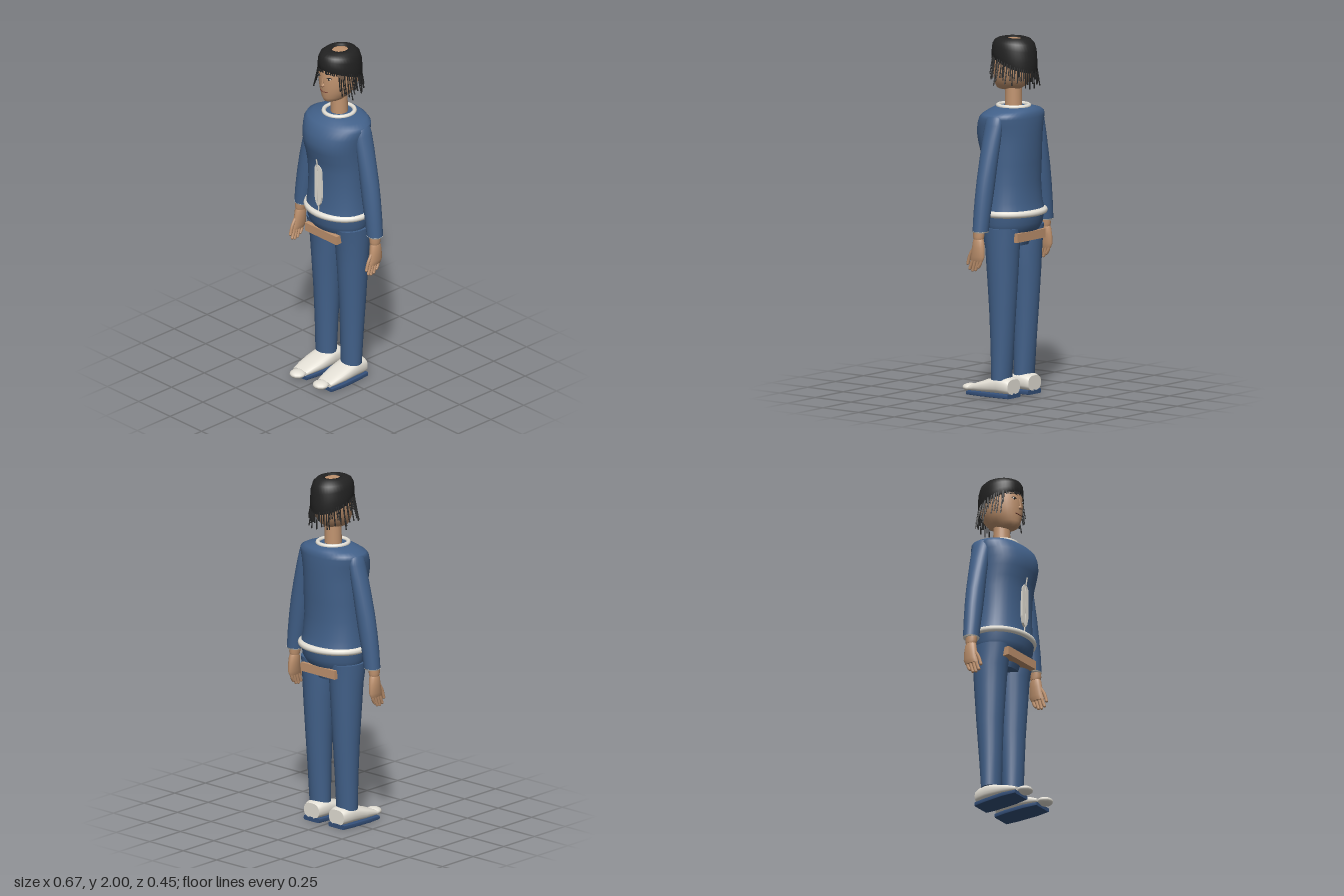
import * as THREE from 'three';

const mat = (name, color) => Object.assign(new THREE.MeshStandardMaterial({ color }), { name });

// Skin through oval rings, bottom to top: [y, centreX, halfWidth, zFront, zBack]
function loft(rings, sides = 28, power = 2) {
  const pos = [], idx = [], n = sides;
  const bend = v => Math.sign(v) * Math.abs(v) ** (2 / power);
  const addRing = ([y, cx, hw, zf, zb]) => {
    for (let j = 0; j < n; j++) {
      const a = j / n * Math.PI * 2;
      pos.push(cx + hw * bend(Math.sin(a)), y, (zf + zb) / 2 + (zf - zb) / 2 * bend(Math.cos(a)));
    }
  };
  rings.forEach(addRing);
  for (let i = 0; i < rings.length - 1; i++) for (let j = 0; j < n; j++) {
    const k = (j + 1) % n, a = i * n + j, b = i * n + k;
    idx.push(a, b, b + n, a, b + n, a + n);
  }
  // flat end caps
  [[rings[0], false], [rings[rings.length - 1], true]].forEach(([r, top]) => {
    const s = pos.length / 3;
    addRing(r);
    pos.push(r[1], r[0], (r[3] + r[4]) / 2);
    for (let j = 0; j < n; j++) {
      const a = s + j, b = s + (j + 1) % n;
      idx.push(s + n, ...(top ? [a, b] : [b, a]));
    }
  });
  const g = new THREE.BufferGeometry();
  g.setAttribute('position', new THREE.Float32BufferAttribute(pos, 3));
  g.setIndex(idx);
  g.computeVertexNormals();
  return g;
}

const tube = (pts, r, seg = 8) => new THREE.TubeGeometry(
  new THREE.CatmullRomCurve3(pts.map(p => new THREE.Vector3(...p))), seg, r, 6);

export function createModel() {
  const model = new THREE.Group();
  const blue = mat('blue cloth', 0x42618a), white = mat('off white', 0xe4e0d6);
  const skin = mat('skin', 0xc0936f), hair = mat('black hair', 0x222222);
  const sole = mat('navy sole', 0x34507a), lip = mat('lip', 0x7a4638);
  const add = (name, geo, m, x = 0, y = 0, z = 0) => {
    const mesh = new THREE.Mesh(geo, m);
    mesh.name = name;
    mesh.position.set(x, y, z);
    model.add(mesh);
    return mesh;
  };

  // Sweater
  add('sweaterBody', loft([
    [1.03, 0, 0.197, 0.11, -0.2], [1.09, 0, 0.186, 0.1, -0.185], [1.2, 0, 0.178, 0.1, -0.18],
    [1.3, 0, 0.18, 0.106, -0.185], [1.36, 0, 0.183, 0.118, -0.188], [1.42, 0, 0.187, 0.136, -0.19],
    [1.47, 0, 0.192, 0.144, -0.192], [1.52, 0, 0.199, 0.135, -0.193], [1.56, 0, 0.206, 0.115, -0.192],
    [1.58, 0, 0.2, 0.095, -0.19], [1.598, 0, 0.165, 0.07, -0.182], [1.612, 0, 0.11, 0.05, -0.165],
    [1.616, 0, 0.08, 0.03, -0.13]], 40, 2.15), blue);
  add('sweaterHem', loft([
    [1.012, 0, 0.198, 0.115, -0.208], [1.018, 0, 0.208, 0.126, -0.22], [1.03, 0, 0.212, 0.13, -0.225],
    [1.042, 0, 0.208, 0.126, -0.22], [1.048, 0, 0.195, 0.112, -0.205]], 40), white);
  const collar = add('collar', new THREE.TorusGeometry(0.084, 0.012, 10, 36), white, 0, 1.617, -0.05);
  collar.rotation.x = Math.PI / 2;
  collar.scale.y = 1.03;

  // Front zip: two facings and a thin centre line
  [-1, 1].forEach(s => {
    const half = new THREE.Shape([[0.003, 1.08], [0.018, 1.1], [0.027, 1.14], [0.027, 1.31], [0.016, 1.33], [0.003, 1.34]]
      .map(([x, y]) => new THREE.Vector2(x * s, y)));
    add('zipFacing', new THREE.ExtrudeGeometry(half, { depth: 0.014, bevelEnabled: false }), white, 0, 0, 0.099);
  });
  add('zipLine', tube([[0, 1.05, 0.106], [0, 1.2, 0.111], [0, 1.3, 0.112], [0, 1.375, 0.125]], 0.004), white);

  // Hips and the bare gap under them
  add('trouserWaist', loft([
    [0.915, 0, 0.165, 0.075, -0.165], [0.935, 0, 0.18, 0.092, -0.178], [0.97, 0, 0.19, 0.107, -0.195],
    [1.02, 0, 0.196, 0.115, -0.2]], 36), blue);
  add('hipBlock', new THREE.BoxGeometry(0.25, 0.05, 0.265), skin, 0, 0.9, -0.042);
  add('crotch', loft([[0.845, 0, 0.065, 0.04, -0.13], [0.9, 0, 0.075, 0.06, -0.15]], 24, 3), blue);

  // Limbs
  [-1, 1].forEach(s => {
    const side = rings => rings.map(([y, cx, ...r]) => [y, cx * s, ...r]);
    add('sleeve', loft(side([
      [0.95, 0.288, 0.047, -0.002, -0.09], [1.05, 0.276, 0.05, 0, -0.094], [1.15, 0.259, 0.055, 0, -0.098],
      [1.25, 0.242, 0.055, 0, -0.102], [1.35, 0.223, 0.05, 0, -0.106], [1.45, 0.202, 0.045, 0, -0.11],
      [1.53, 0.186, 0.036, -0.002, -0.112], [1.57, 0.183, 0.027, -0.01, -0.105], [1.583, 0.18, 0.014, -0.03, -0.085]]), 24), blue);
    add('cuff', loft(side([[0.944, 0.288, 0.044, -0.005, -0.087], [0.951, 0.288, 0.048, -0.001, -0.091]]), 24), white);
    add('wrist', loft(side([[0.905, 0.297, 0.025, -0.01, -0.068], [0.92, 0.297, 0.028, -0.005, -0.072], [0.95, 0.295, 0.029, -0.005, -0.072]]), 16), skin);
    add('palm', loft(side([
      [0.785, 0.303, 0.014, 0.012, -0.072], [0.81, 0.303, 0.021, 0.008, -0.083], [0.86, 0.301, 0.025, 0, -0.08],
      [0.895, 0.299, 0.025, -0.005, -0.074], [0.912, 0.298, 0.02, -0.012, -0.066]]), 18), skin);
    const x = 0.303 * s;
    [[-0.063, 0.742], [-0.043, 0.726], [-0.022, 0.722], [-0.002, 0.73]].forEach(([z, tip]) => {
      add('finger', tube([[x, 0.805, z], [x, 0.77, z + 0.008], [x, tip + 0.008, z + 0.02]], 0.0088), skin);
      add('fingertip', new THREE.SphereGeometry(0.0088, 8, 6), skin, x, tip + 0.008, z + 0.02);
    });
    add('thumb', tube([[x, 0.85, -0.005], [x, 0.81, 0.018], [x, 0.765, 0.032]], 0.009), skin);
    add('thumbTip', new THREE.SphereGeometry(0.009, 8, 6), skin, x, 0.765, 0.032);

    add('trouserLeg', loft(side([
      [0.1, 0.1, 0.064, 0.008, -0.1], [0.3, 0.101, 0.067, 0.014, -0.115], [0.5, 0.102, 0.075, 0.022, -0.13],
      [0.7, 0.102, 0.085, 0.036, -0.143], [0.83, 0.101, 0.092, 0.046, -0.15], [0.95, 0.105, 0.093, 0.07, -0.16]]), 24), blue);

    // Shoe: sections run heel to toe, then tip forward
    const shoe = (rings, p) => loft(side(rings), 24, p).rotateX(Math.PI / 2);
    add('shoeUpper', shoe([
      [-0.125, 0.093, 0.056, -0.02, -0.105], [-0.1, 0.093, 0.064, -0.02, -0.114], [-0.05, 0.093, 0.069, -0.02, -0.12],
      [-0.01, 0.093, 0.07, -0.02, -0.11], [0.05, 0.094, 0.07, -0.02, -0.09], [0.11, 0.096, 0.062, -0.02, -0.07],
      [0.155, 0.097, 0.053, -0.02, -0.05]], 2.6), white);
    add('shoeSole', shoe([
      [-0.125, 0.093, 0.058, 0, -0.026], [-0.05, 0.094, 0.066, 0, -0.026], [0.07, 0.098, 0.068, 0, -0.026],
      [0.158, 0.1, 0.058, 0, -0.022]], 8), sole);
    add('toeCap', new THREE.SphereGeometry(0.046, 12, 10), white, 0.092 * s, 0.033, 0.178).scale.y = 0.48;
  });

  // Neck and head
  add('neck', new THREE.CylinderGeometry(0.046, 0.049, 0.17, 24), skin, 0, 1.66, -0.05);
  add('head', loft([
    [1.705, 0, 0.03, 0.045, -0.06], [1.712, 0, 0.046, 0.058, -0.09], [1.735, 0, 0.068, 0.066, -0.13],
    [1.77, 0, 0.086, 0.071, -0.158], [1.81, 0, 0.098, 0.074, -0.174], [1.86, 0, 0.102, 0.074, -0.18],
    [1.92, 0, 0.1, 0.07, -0.178], [1.965, 0, 0.085, 0.05, -0.155], [1.985, 0, 0.06, 0.02, -0.125], [1.992, 0, 0.03, -0.02, -0.08]], 32), skin);

  // Face
  const faceZ = x => -0.053 + 0.127 * Math.sqrt(1 - (x / 0.102) ** 2);
  const blob = (name, m, x, y, z, w, h, d) => add(name, new THREE.SphereGeometry(1, 12, 8), m, x, y, z).scale.set(w, h, d);
  [-1, 1].forEach(s => {
    blob('eyeWhite', white, 0.039 * s, 1.86, faceZ(0.039), 0.013, 0.006, 0.004);
    blob('iris', hair, 0.039 * s, 1.86, faceZ(0.039) + 0.002, 0.007, 0.007, 0.004);
    const arc = (y, pts, r) => tube(pts.map(([x, dy]) => [x * s, y + dy, faceZ(x) + 0.001]), r);
    add('upperLid', arc(1.867, [[0.025, -0.005], [0.039, 0.001], [0.054, -0.004]], 0.002), hair);
    add('brow', arc(1.888, [[0.02, -0.003], [0.04, 0.004], [0.06, -0.004]], 0.0025), hair);
    blob('nostril', lip, 0.007 * s, 1.808, 0.081, 0.003, 0.002, 0.003);
  });
  blob('nose', skin, 0, 1.814, 0.073, 0.011, 0.011, 0.013);
  add('noseBridge', tube([[0, 1.865, 0.072], [0, 1.835, 0.077], [0, 1.815, 0.081]], 0.005), skin);
  add('mouth', tube([-0.03, -0.015, 0, 0.015, 0.03].map(x => [x, 1.772 + Math.abs(x) * 0.1, faceZ(x) - 0.003]), 0.003), lip);

  // Hair cap: open at the crown, its lower edge sinking toward the back
  const tilt = (y, z) => y + (2 - y) / 0.145 * (z + 0.057) * 0.38;
  const profile = [[1.855, 0.93], [1.858, 1], [1.9, 1], [1.945, 0.97], [1.975, 0.88], [1.992, 0.72], [2, 0.52], [1.997, 0.37], [1.985, 0.35]];
  const cap = new THREE.LatheGeometry(profile.map(([y, r]) => new THREE.Vector2(r, y)), 40);
  const p = cap.attributes.position;
  for (let i = 0; i < p.count; i++) {
    const z = p.getZ(i) * 0.133 - 0.057;
    p.setXYZ(i, p.getX(i) * 0.113, tilt(p.getY(i), z), z);
  }
  cap.computeVertexNormals();
  const capMat = hair.clone();
  capMat.side = THREE.DoubleSide;
  add('hairCap', cap, capMat);

  // Loose strands round the cap edge, short over the brow
  let seed = 7;
  const rand = () => (seed = seed * 16807 % 2147483647) / 2147483647;
  for (let i = 0; i < 64; i++) {
    const a = (i + rand() * 0.6) / 64 * Math.PI * 2;
    const sx = Math.sin(a), cz = Math.cos(a), fringe = cz > 0.72;
    const x = sx * 0.109, z = cz * 0.128 - 0.057, y = tilt(1.87, z);
    const len = fringe ? 0.022 : 0.05 + rand() * (cz > -0.4 ? 0.1 : 0.06);
    const out = fringe ? 0.003 : (0.08 + rand() * 0.14) * len;
    add('hairStrand', tube([[x, y + 0.01, z], [x + sx * out * 0.7, y - len * 0.5, z + cz * out * 0.4],
      [x + sx * out * 1.5, y - len, z + cz * out * 0.6]], 0.0036, 5), capMat);
  }
  return model;
}
